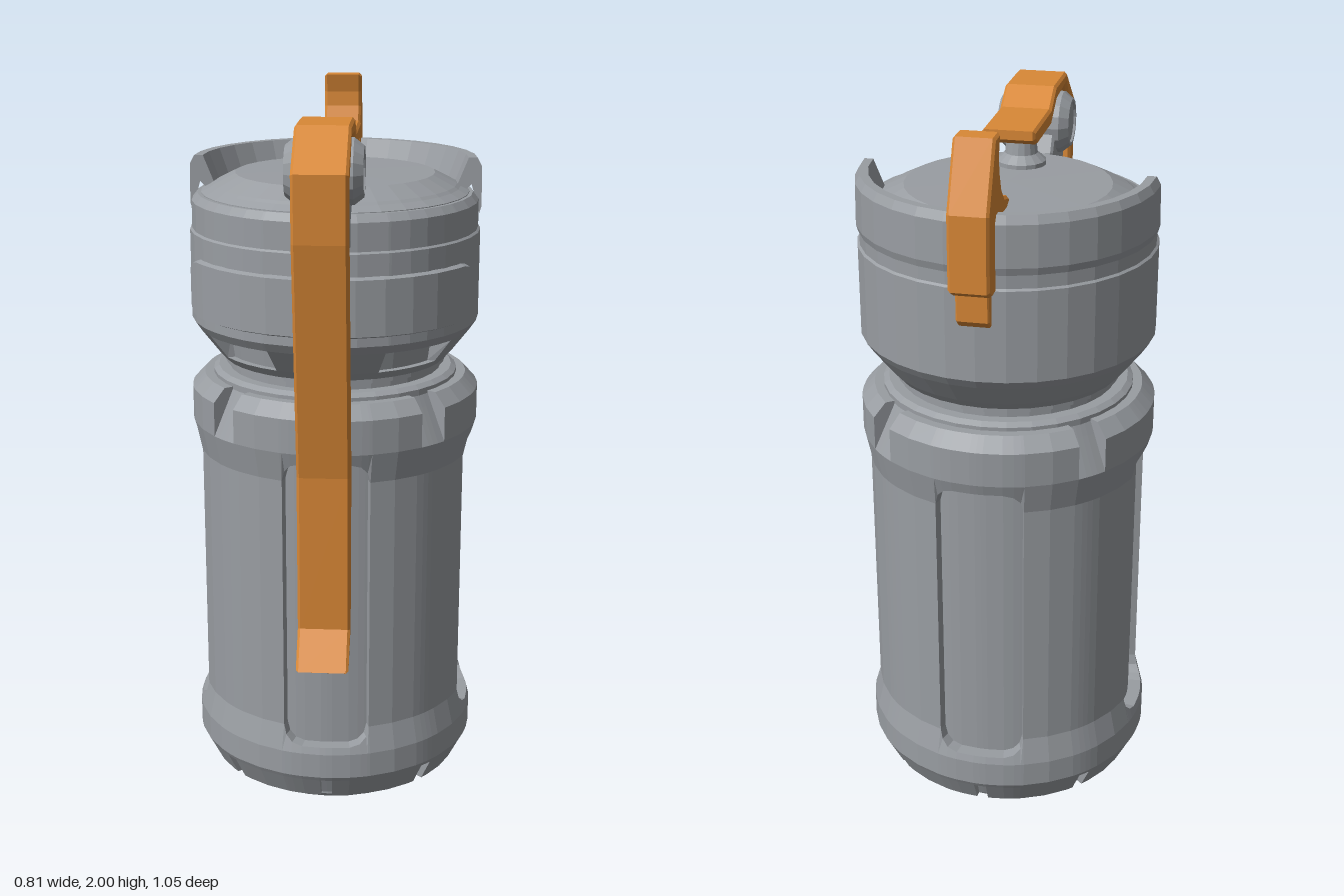
import * as THREE from 'three';

const gray = new THREE.MeshStandardMaterial({ color: 0x999da2 });
gray.name = 'gray casing';
const orange = new THREE.MeshStandardMaterial({ color: 0xd98836 });
orange.name = 'orange latch';

function flatMesh(name, geo, mat) {
  const g = geo.index ? geo.toNonIndexed() : geo;
  g.computeVertexNormals();
  const m = new THREE.Mesh(g, mat);
  m.name = name;
  return m;
}

// Skin over vertical columns around the axis: each column is { a: degrees, pts: [[radius, y], ...] }
function columns(name, cols) {
  const pos = [], idx = [], n = cols[0].pts.length;
  cols.forEach(({ a, pts }) => {
    const t = THREE.MathUtils.degToRad(a);
    pts.forEach(([r, y]) => pos.push(r * Math.sin(t), y, r * Math.cos(t)));
  });
  for (let i = 0; i < cols.length - 1; i++) {
    for (let j = 0; j < n - 1; j++) {
      const p = i * n + j, q = p + n;
      idx.push(p, q, q + 1, p, q + 1, p + 1);
    }
  }
  const g = new THREE.BufferGeometry();
  g.setAttribute('position', new THREE.Float32BufferAttribute(pos, 3));
  g.setIndex(idx);
  return flatMesh(name, g, gray);
}

function lathe(name, pts, sides = 32) {
  return flatMesh(name, new THREE.LatheGeometry(pts.map(p => new THREE.Vector2(...p)), sides), gray);
}

// Side profile given as [z, y], extruded across x with a small chamfer
function sideProfile(name, pts, width, mat, bevel = 0.007) {
  const shape = new THREE.Shape(pts.map(p => new THREE.Vector2(...p)));
  const depth = width - 2 * bevel;
  const g = new THREE.ExtrudeGeometry(shape, {
    depth, bevelEnabled: true, bevelSegments: 1,
    bevelThickness: bevel, bevelSize: bevel, bevelOffset: -bevel,
  });
  g.translate(0, 0, -depth / 2);
  g.rotateY(-Math.PI / 2);
  return flatMesh(name, g, mat);
}

// Mirror a list of half-turn offsets into a full symmetric list
const mirrored = half => [
  ...half.slice(1).reverse().map(([o, f]) => [-o, f]),
  ...half,
];

// Round a corner: how far the edge moves in at offset o
function cornerInset(o, start, end, radius) {
  const t = Math.min(1, Math.max(0, (Math.abs(o) - start) / (end - start)));
  return radius * (1 - Math.sqrt(1 - t * t));
}

// Bottle wall with four sunken panels (P), top notches (N) and bottom slots (S)
function bottle() {
  const wall = y => 0.387 + 0.018 * Math.min(1, Math.max(0, (0.25 - y) / 0.06, (y - 1.02) / 0.06));
  const half = [[0, 'PS'], [2.5, 'PS'], [2.5, 'P'], [9.8, 'P'], [14, 'P'], [16.8, 'P'], [18, 'P'],
    [18, ''], [28.5, ''], [39, ''], [39, 'N'], [42.5, 'N'], [42.5, 'NS'], [45, 'NS']];
  const cols = [];
  for (let q = 0; q < 4; q++) {
    for (const [o, f] of mirrored(half)) {
      const P = f.includes('P'), N = f.includes('N'), S = f.includes('S');
      const inset = P ? cornerInset(o, 9.8, 18, 0.055) : 0.055;
      const lo = 0.21 + inset, hi = 1.05 - inset;
      cols.push({ a: q * 90 + o, pts: [
        [0.29, 0.04], [S ? 0.345 : 0.365, 0.04], [S ? 0.37 : 0.398, 0.105], [0.398, 0.105],
        [0.405, 0.118], [0.405, 0.19],
        [wall(lo), lo], [P ? 0.362 : wall(lo), lo], [P ? 0.362 : wall(hi), hi], [wall(hi), hi],
        [0.405, 1.08], [N ? 0.358 : 0.405, 1.175], [N ? 0.34 : 0.37, 1.212], [0.29, 1.212],
      ] });
    }
  }
  return columns('bottle', cols);
}

// Cap wall with two slots in the lower chamfer
function cap() {
  const half = [[0, 0], [12, 0], [24, 0], [25, 1], [33, 1], [41, 1], [50, 1], [57, 1], [58, 0]];
  for (let a = 68; a < 180; a += 11.2) half.push([a, 0]);
  half.push([180, 0]);
  return columns('cap', mirrored(half).map(([a, slot]) => ({ a, pts: [
    [0.28, 1.262], [0.315, 1.262], [0.335, 1.285], [slot ? 0.315 : 0.335, 1.285],
    [slot ? 0.325 : 0.385, 1.35], [0.385, 1.35], [0.402, 1.375], [0.402, 1.62],
    [0.396, 1.625], [0.396, 1.70], [0.38, 1.72], [0.365, 1.72],
  ] })));
}

// Raised band wrapping the front of the cap
function band() {
  const half = [0, 11, 22, 33, 44, 55, 60, 64, 66, 67].map(a => [a, 0]);
  half.push([67.8, 1]);
  return columns('frontBand', mirrored(half).map(([a, end]) => {
    const inset = cornerInset(a, 60, 67.8, 0.045), lo = 1.395 + inset, hi = 1.565 - inset;
    const r = end ? 0.392 : 0.416;
    return { a, pts: [[0.392, lo], [r, lo + 0.01], [r, hi - 0.01], [0.392, hi]] };
  }));
}

// Raised rim around the back half, closed at both ends
function rim() {
  const pts = [[0.398, 1.66], [0.404, 1.68], [0.402, 1.79], [0.39, 1.812], [0.366, 1.812], [0.335, 1.735], [0.335, 1.70]];
  const close = pts.map(() => [0.375, 1.74]);
  const cols = [{ a: 90, pts: close }];
  for (let i = 0; i <= 16; i++) cols.push({ a: 90 + i * 11.25, pts });
  cols.push({ a: 270, pts: close });
  return columns('backRim', cols);
}

export function createModel() {
  const model = new THREE.Group();
  model.name = 'flask';

  // Round container, set slightly behind the centre
  const container = new THREE.Group();
  container.name = 'container';
  container.position.z = -0.06;
  container.add(
    lathe('foot', [[0, 0], [0.3, 0], [0.308, 0.012], [0.308, 0.045]]),
    bottle(),
    lathe('neck', [[0.345, 1.205], [0.345, 1.222], [0.33, 1.232], [0.3, 1.232], [0.3, 1.25], [0.312, 1.25], [0.312, 1.275]]),
    cap(),
    band(),
    rim(),
    lathe('lidDeck', [[0.37, 1.70], [0.37, 1.722], [0.345, 1.735], [0.335, 1.742], [0.275, 1.772], [0, 1.775]]),
  );
  model.add(container);

  // Push button under the lever
  const button = lathe('button', [[0.068, 1.77], [0.068, 1.785], [0.045, 1.805], [0.04, 1.845],
    [0.058, 1.85], [0.058, 1.872], [0, 1.872]], 16);
  button.position.z = 0.11;
  model.add(button);

  // Hinge barrel with chamfered ends and a bracket down to the cap
  const barrel = lathe('hingeBarrel', [[0, -0.094], [0.055, -0.094], [0.057, -0.1], [0.065, -0.1], [0.085, -0.075],
    [0.085, 0.075], [0.065, 0.1], [0.057, 0.1], [0.055, 0.094], [0, 0.094]], 16);
  barrel.rotation.z = Math.PI / 2;
  barrel.position.set(0, 1.832, 0.33);
  model.add(barrel);
  model.add(sideProfile('hingeBracket', [[0.425, 1.80], [0.41, 1.75], [0.325, 1.62], [0.24, 1.62],
    [0.22, 1.77], [0.27, 1.85], [0.38, 1.85]], 0.13, gray));

  // Long bent lever at the front
  model.add(sideProfile('lever', [
    [-0.06, 1.91], [0.165, 1.91], [0.235, 1.955], [0.40, 1.955], [0.527, 1.853], [0.522, 1.68],
    [0.41, 1.04], [0.402, 0.605], [0.475, 0.51], [0.465, 0.505], [0.36, 0.595], [0.35, 1.04],
    [0.465, 1.68], [0.47, 1.835], [0.39, 1.925], [0.245, 1.915], [0.165, 1.865], [-0.02, 1.865], [-0.06, 1.885],
  ].reverse(), 0.142, orange));

  // Hook over the back rim, with a narrower clip below
  model.add(sideProfile('backHook', [
    [-0.39, 2], [-0.447, 2], [-0.525, 1.83], [-0.525, 1.635], [-0.49, 1.615], [-0.45, 1.615], [-0.45, 1.79],
    [-0.32, 1.785], [-0.287, 1.80], [-0.30, 1.815], [-0.345, 1.825], [-0.38, 1.86], [-0.40, 1.91], [-0.402, 1.95],
  ], 0.105, orange));
  model.add(sideProfile('hookClip', [[-0.488, 1.63], [-0.485, 1.545], [-0.463, 1.525], [-0.445, 1.53], [-0.445, 1.63]],
    0.085, orange, 0.004));

  return model;
}
